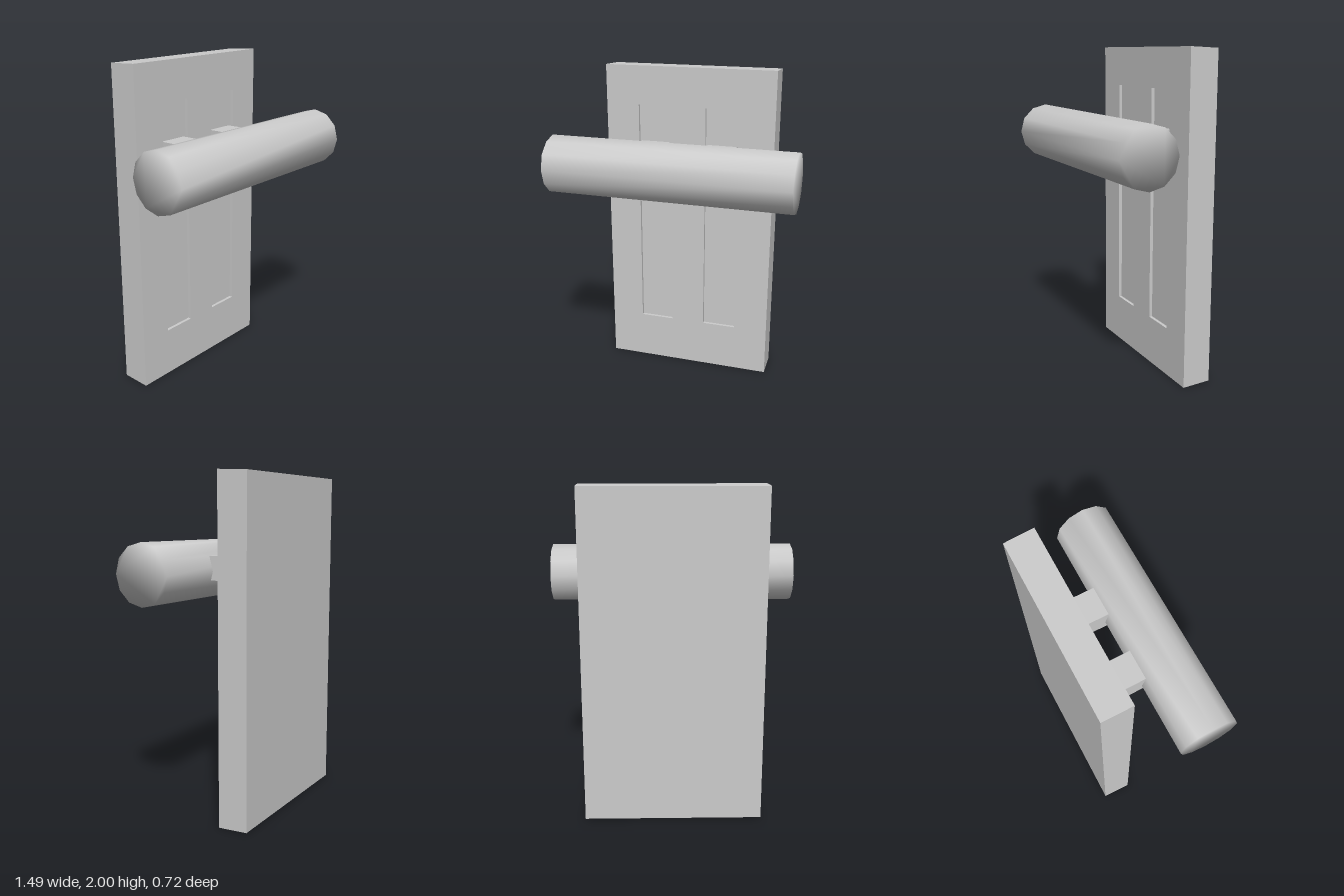
import * as THREE from 'three';
import { mergeVertices } from 'three/addons/utils/BufferGeometryUtils.js';

const FRONT = -0.18, THICK = 0.18, RECESS = 0.02;
const material = new THREE.MeshStandardMaterial({ color: 0xcccccc });

function addMesh(group, name, geometry) {
  const mesh = new THREE.Mesh(geometry, material);
  mesh.name = name;
  group.add(mesh);
  return mesh;
}

// Box without its +z face; inward turns the faces to look inside
function openBox(w, h, d, inward = false) {
  const g = new THREE.BoxGeometry(w, h, d);
  const index = Array.from(g.index.array);
  index.splice(24, 6);
  g.setIndex(inward ? index.reverse() : index);
  return g;
}

function rectangle(target, x, y, w, h) {
  target.moveTo(x - w / 2, y - h / 2);
  target.lineTo(x + w / 2, y - h / 2);
  target.lineTo(x + w / 2, y + h / 2);
  target.lineTo(x - w / 2, y + h / 2);
  target.closePath();
  return target;
}

export function createModel() {
  const model = new THREE.Group();
  model.name = 'wallMountedBar';
  const slot = { w: 0.217, h: 1.455, y: 1.032 };
  const slotXs = [-0.218, 0.216];

  // Back plate, slightly smaller at the rear
  const plate = new THREE.Group();
  plate.name = 'backPlate';
  model.add(plate);
  const shell = openBox(1.076, 2, THICK);
  const pos = shell.attributes.position;
  for (let i = 0; i < pos.count; i++) {
    if (pos.getZ(i) < 0) pos.setXY(i, pos.getX(i) * 0.994, pos.getY(i) * 0.992);
  }
  shell.computeVertexNormals();
  addMesh(plate, 'plateShell', shell).position.set(0, 1, FRONT - THICK / 2);

  // Front face of the plate with two slot openings
  const face = rectangle(new THREE.Shape(), 0, 1, 1.076, 2);
  for (const x of slotXs) face.holes.push(rectangle(new THREE.Path(), x, slot.y, slot.w, slot.h));
  addMesh(plate, 'plateFace', new THREE.ShapeGeometry(face)).position.z = FRONT;

  slotXs.forEach((x, i) => {
    const side = i ? 'left' : 'right';
    // Shallow recess
    const recess = openBox(slot.w, slot.h, RECESS, true);
    recess.computeVertexNormals();
    addMesh(plate, side + 'Slot', recess).position.set(x, slot.y, FRONT - RECESS / 2);
    // Bracket from the recess floor into the bar
    const back = FRONT - RECESS, tip = 0.025;
    addMesh(model, side + 'Bracket', new THREE.BoxGeometry(0.186, 0.142, tip - back))
      .position.set(x - 0.003, 1.459, (back + tip) / 2);
  });

  // Twelve-sided bar, smooth shaded over its ends
  const section = new THREE.Shape();
  for (let i = 0; i < 12; i++) {
    const a = (i * Math.PI) / 6;
    section[i ? 'lineTo' : 'moveTo'](0.177 * Math.cos(a), 0.177 * Math.sin(a));
  }
  section.closePath();
  let bar = new THREE.ExtrudeGeometry(section, { depth: 1.486, bevelEnabled: false });
  bar.deleteAttribute('uv');
  bar.deleteAttribute('normal');
  bar = mergeVertices(bar, 1e-4);
  bar.computeVertexNormals();
  bar.translate(0, 0, -0.743).rotateY(Math.PI / 2);
  addMesh(model, 'bar', bar).position.set(-0.002, 1.441, 0.18);

  return model;
}
